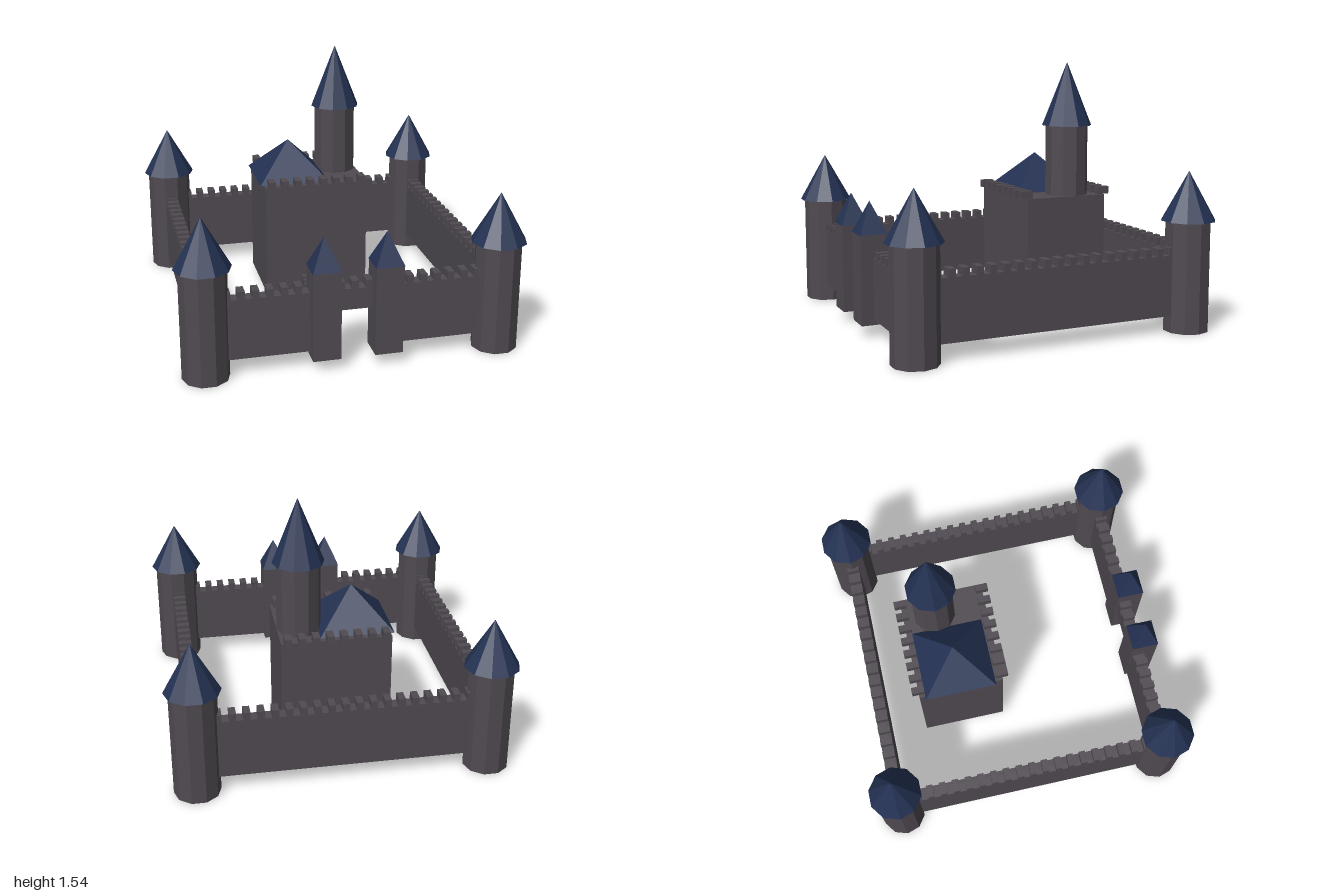
import * as THREE from 'three';

export function createModel() {
  const stone = new THREE.MeshStandardMaterial({ color: 0x4f4a51 });
  stone.name = 'stone';
  const slate = new THREE.MeshStandardMaterial({ color: 0x233152 });
  slate.name = 'slateRoof';
  stone.flatShading = slate.flatShading = true;

  const castle = new THREE.Group();
  castle.name = 'castle';

  const group = (name, parent = castle) => {
    const g = new THREE.Group();
    g.name = name;
    parent.add(g);
    return g;
  };
  const add = (parent, name, geometry, material, x, y, z) => {
    const m = new THREE.Mesh(geometry, material);
    m.name = name;
    m.position.set(x, y, z);
    parent.add(m);
    return m;
  };
  // Box given by its extents on each axis
  const block = (parent, name, [x0, x1], [y0, y1], [z0, z1]) =>
    add(parent, name, new THREE.BoxGeometry(x1 - x0, y1 - y0, z1 - z0), stone,
      (x0 + x1) / 2, (y0 + y1) / 2, (z0 + z1) / 2);

  // Ten-sided tower with an overhanging conical roof
  const roundTower = (name, x, z, r, y0, y1, roofR, apex) => {
    const g = group(name);
    add(g, 'shaft', new THREE.CylinderGeometry(r, r, y1 - y0, 10, 1, false, Math.PI / 2),
      stone, x, (y0 + y1) / 2, z);
    add(g, 'roof', new THREE.ConeGeometry(roofR, apex - y1, 10, 1, false, Math.PI / 2),
      slate, x, (y1 + apex) / 2, z);
  };
  // Four-sided roof with its sides along the axes
  const pyramid = (parent, name, half, x, y0, apex, z) =>
    add(parent, name, new THREE.ConeGeometry(half * Math.SQRT2, apex - y0, 4, 1, false, Math.PI / 4),
      slate, x, (y0 + apex) / 2, z);

  // Corner towers
  for (const x of [-0.84, 0.84])
    for (const z of [-0.84, 0.84])
      roundTower('cornerTower', x, z, 0.134, 0, 0.648, 0.16, 0.934);

  // Curtain walls with merlons; the front one has a gate opening
  const T = 0.0375;
  const bottom = 0.1, top = 0.455, crest = 0.5;
  for (const z of [-0.84, 0.836]) {
    const front = z > 0;
    const wall = group(front ? 'frontWall' : 'backWall');
    const depth = [z - T, z + T];
    if (front) {
      block(wall, 'wallRight', [-0.84, -0.1], [bottom, top], depth);
      block(wall, 'wallLeft', [0.096, 0.84], [bottom, top], depth);
      block(wall, 'gateLintel', [-0.1, 0.096], [0.33, top], depth);
    } else {
      block(wall, 'wall', [-0.84, 0.84], [bottom, top], depth);
    }
    for (let i = -9; i <= 9; i++) {
      const x = -0.004 + i * 0.0793;
      block(wall, 'merlon', [x - 0.0195, x + 0.0195], [top, crest], depth);
    }
  }
  for (const x of [-0.841, 0.837]) {
    const wall = group(x > 0 ? 'leftWall' : 'rightWall');
    block(wall, 'wall', [x - T, x + T], [bottom, top], [-0.84, 0.84]);
    for (let i = -9; i <= 9; i++) {
      const z = 0.003 + i * 0.08;
      block(wall, 'merlon', [x - T, x + T], [top, crest], [z - 0.0195, z + 0.0195]);
    }
  }

  // Square towers flanking the gate
  for (const x of [-0.18, 0.175]) {
    const g = group('gateTower');
    block(g, 'shaft', [x - 0.08, x + 0.08], [0.07, 0.59], [0.786, 0.946]);
    pyramid(g, 'roof', 0.082, x, 0.59, 0.775, 0.866);
  }

  // Keep with crenellated front and back edges
  const keep = group('keep');
  const keepTop = 0.745;
  block(keep, 'keepBody', [-0.324, 0.319], [0.036, keepTop], [-0.582, -0.065]);
  for (const z of [-0.583, -0.068])
    for (let i = 0; i < 8; i++) {
      const x = -0.286 + i * 0.081;
      block(keep, 'merlon', [x - 0.02, x + 0.02], [keepTop, 0.79], [z - 0.038, z + 0.038]);
    }
  pyramid(keep, 'keepRoof', 0.217, -0.129, keepTop, 0.97, -0.329);
  roundTower('tallTower', 0.19, -0.387, 0.129, keepTop - 0.01, 1.165, 0.151, 1.545);

  // Steps up to the keep
  const stairs = group('stairs');
  for (let i = 0; i < 3; i++)
    block(stairs, 'step', [-0.1, 0.094], [0.1 + i * 0.0165, 0.1165 + i * 0.0165],
      [-0.066, 0.021 - i * 0.024]);

  return castle;
}
